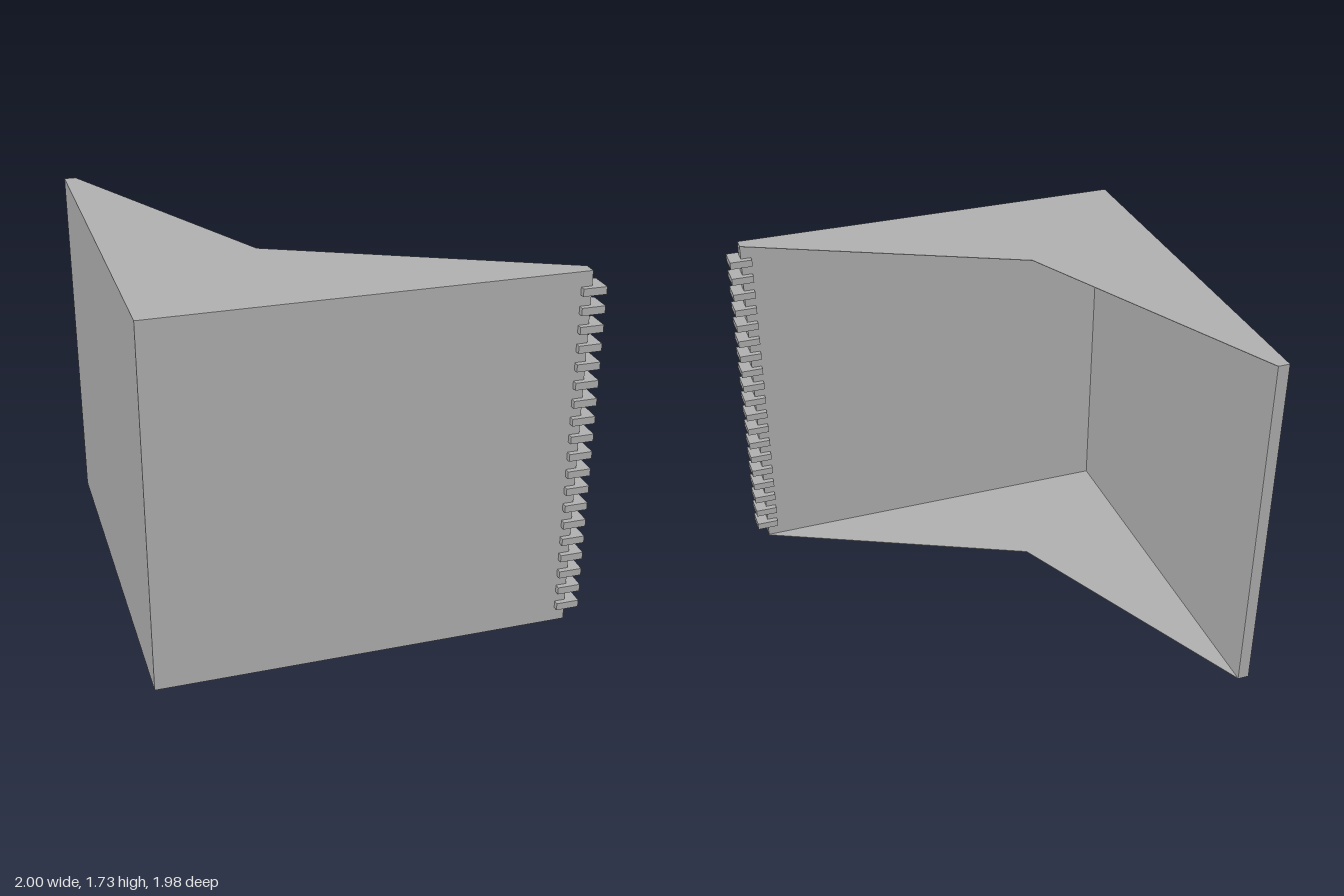
import * as THREE from 'three';

const H = 1.733; // overall height
const T = 0.055; // wall thickness

export function createModel() {
  const group = new THREE.Group();
  const grey = new THREE.MeshStandardMaterial({ color: 0xb2b2b2 });
  grey.name = 'grey';

  const add = (name, geometry, x, y, z, parent = group) => {
    const mesh = new THREE.Mesh(geometry, grey);
    mesh.name = name;
    mesh.position.set(x, y, z);
    parent.add(mesh);
    return mesh;
  };

  // Two upright walls meeting at the front corner
  add('frontWall', new THREE.BoxGeometry(1.94, H, T), -0.03, H / 2, 0.96 - T / 2);
  add('sideWall', new THREE.BoxGeometry(T, H, 1.95 - T), -1 + T / 2, H / 2, (-0.99 + 0.96 - T) / 2);

  // Thin notched plates closing the top and bottom; shape y is -z
  const outline = new THREE.Shape([
    [-1, -0.96], [0.94, -0.96], [0.94, -0.9], [-0.34, -0.29], [-0.945, 0.99], [-1, 0.99],
  ].map(([x, y]) => new THREE.Vector2(x, y)));
  const plate = new THREE.ExtrudeGeometry(outline, { depth: 0.003, bevelEnabled: false });
  plate.rotateX(-Math.PI / 2);
  add('topPlate', plate, 0, H - 0.003, 0);
  add('bottomPlate', plate, 0, 0, 0);

  // Row of small clips along the free edge of the front wall
  const clips = new THREE.Group();
  clips.name = 'edgeClips';
  group.add(clips);
  const clip = new THREE.BoxGeometry(0.108, 0.035, 0.108);
  for (let i = 1; i < 20; i++) add('edgeClip', clip, 0.944, i * H / 20, 0.931, clips);

  return group;
}
